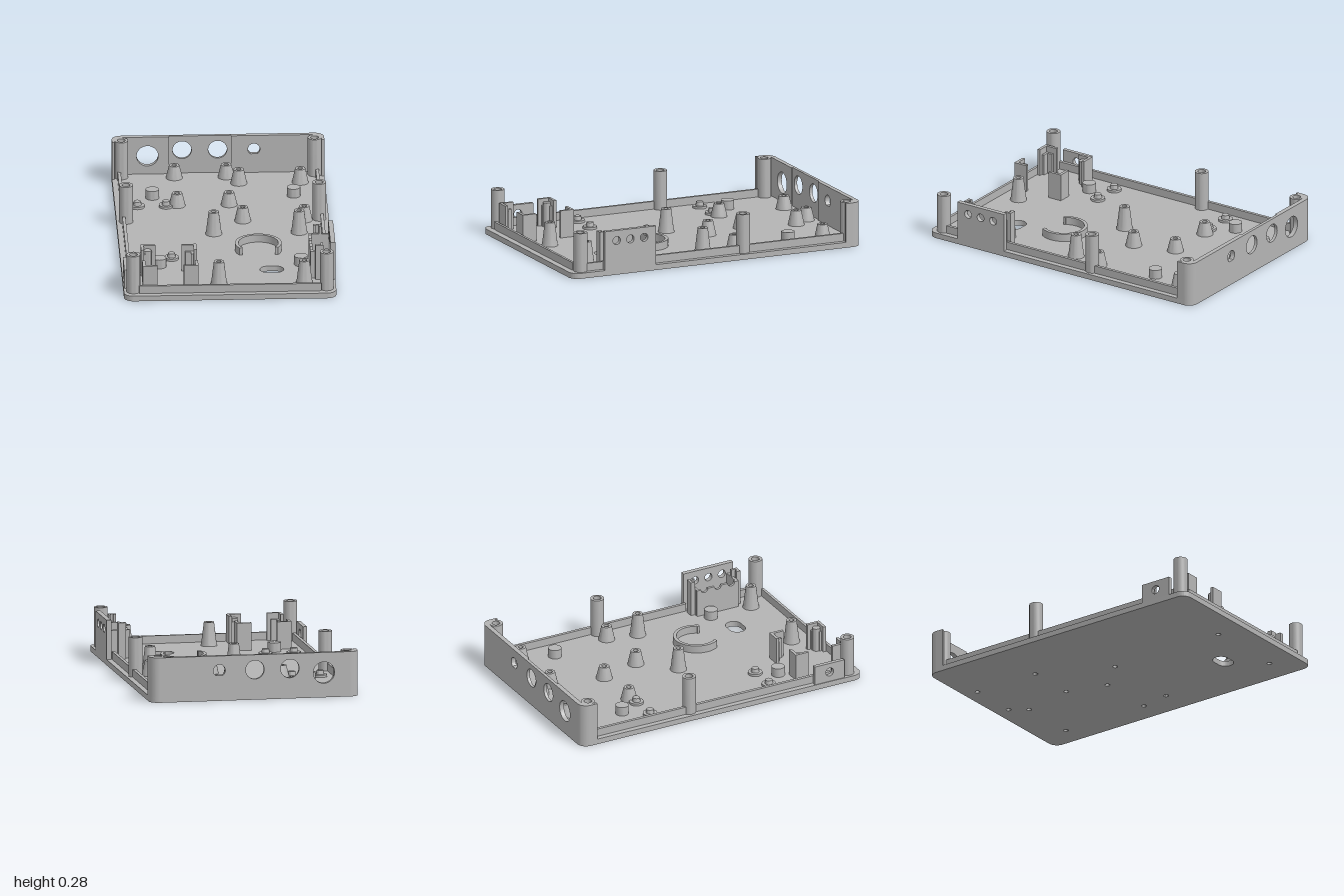
import * as THREE from 'three';
import { toCreasedNormals } from 'three/addons/utils/BufferGeometryUtils.js';

const FLOOR = 0.035, LIP = 0.085, TOP = 0.285;
const W = 0.665, L = 1;

export function createModel() {
  const model = new THREE.Group();
  model.name = 'enclosureBase';
  const grey = new THREE.MeshStandardMaterial({ color: 0xb4b4b4 });
  grey.name = 'grey plastic';

  const add = (name, geometry, x = 0, y = 0, z = 0) => {
    const mesh = new THREE.Mesh(toCreasedNormals(geometry, 0.6), grey);
    mesh.name = name;
    mesh.position.set(x, y, z);
    model.add(mesh);
    return mesh;
  };
  // box given by its limits
  const box = (name, x0, x1, y0, y1, z0, z1) =>
    add(name, new THREE.BoxGeometry(x1 - x0, y1 - y0, z1 - z0), (x0 + x1) / 2, (y0 + y1) / 2, (z0 + z1) / 2);
  const polygon = (pts) => new THREE.Shape(pts.map(([x, y]) => new THREE.Vector2(x, y)));
  const circle = (x, y, r) => new THREE.Path().absarc(x, y, r, 0, Math.PI * 2, true);
  const extrude = (shape, depth) =>
    new THREE.ExtrudeGeometry(shape, { depth, bevelEnabled: false, curveSegments: 20 });
  // plan shapes are drawn with their y pointing to the back
  const upward = (name, shape, y0, y1) =>
    add(name, extrude(shape, y1 - y0).rotateX(-Math.PI / 2), 0, y0, 0);
  // side plates are drawn with their x pointing to the back
  const sideways = (name, shape, x0, x1) =>
    add(name, extrude(shape, x1 - x0).rotateY(Math.PI / 2), x0, 0, 0);
  const lathe = (name, pts, x, z) =>
    add(name, new THREE.LatheGeometry(pts.map(([r, y]) => new THREE.Vector2(r, y)), 32), x, 0, z);

  // standoff groups: x positions, z positions, height
  const standoffs = [
    [[-0.275, 0.05], [-0.905, -0.455], 0.12],
    [[0.125, 0.51], [-0.8, -0.19], 0.13],
    [[-0.065, 0.47], [0.01, 0.815], 0.185],
  ];
  const eachStandoff = (fn) =>
    standoffs.forEach(([xs, zs, h]) => xs.forEach((x) => zs.forEach((z) => fn(x, z, h))));

  // floor with rounded corners, screw holes and a slot
  const R = 0.06;
  const floor = new THREE.Shape();
  floor.absarc(W - R, L - R, R, 0, Math.PI / 2);
  floor.absarc(-W + R, L - R, R, Math.PI / 2, Math.PI);
  floor.absarc(-W + R, -L + R, R, Math.PI, Math.PI * 1.5);
  floor.absarc(W - R, -L + R, R, Math.PI * 1.5, Math.PI * 2);
  eachStandoff((x, z) => floor.holes.push(circle(x, -z, 0.016)));
  const slot = new THREE.Path();
  slot.absarc(0.298, -0.6, 0.052, Math.PI / 2, -Math.PI / 2, true);
  slot.absarc(0.252, -0.6, 0.052, -Math.PI / 2, -Math.PI * 1.5, true);
  floor.holes.push(slot);
  upward('floor', floor, 0, FLOOR);

  // flared screw standoffs
  eachStandoff((x, z, h) => lathe('standoff',
    [[0.052, FLOOR], [0.047, 0.06], [0.032, h], [0.016, h], [0.016, FLOOR]], x, z));

  // locating pegs and round pads
  for (const x of [-0.525, -0.345]) for (const z of [-0.44, 0.405])
    lathe('locatingPeg', [[0.045, FLOOR], [0.045, 0.05], [0.026, 0.05], [0.022, 0.075], [0, 0.075]], x, z);
  for (const x of [-0.425, 0.46]) for (const z of [-0.585, 0.525])
    lathe('roundPad', [[0.042, FLOOR], [0.042, 0.094], [0, 0.094]], x, z);

  // lid columns with blind screw holes
  for (const x of [-0.605, 0.605]) for (const z of [-0.925, -0.205, 0.92])
    lathe('lidColumn', [[0.043, FLOOR], [0.043, TOP], [0.025, TOP], [0.025, 0.12], [0, 0.12]], x, z);

  // low lip around the edge
  box('frontLip', -0.57, 0.57, FLOOR, LIP, 0.943, 0.96);
  for (const s of [-1, 1]) {
    const a = s * 0.61, b = s * 0.63;
    const x0 = Math.min(a, b), x1 = Math.max(a, b);
    box('sideLip', x0, x1, FLOOR, LIP, -0.89, -0.24);
    box('sideLip', x0, x1, FLOOR, LIP, -0.17, s > 0 ? 0.43 : 0.66);
    box('sideLip', x0, x1, FLOOR, LIP, s > 0 ? 0.77 : 0.66, 0.885);
  }

  // back wall, thinner in its middle section
  const wallSection = (x0, x1, thickness, holes) => {
    const s = polygon([[x0, FLOOR], [x1, FLOOR], [x1, TOP], [x0, TOP]]);
    s.holes.push(...holes);
    add('backWall', extrude(s, thickness), 0, 0, -L);
  };
  const flatHole = new THREE.Path();
  flatHole.absarc(0.227, 0.192, 0.038, Math.PI * 1.3, -Math.PI * 0.3, true);
  wallSection(-0.605, -0.305, 0.03, [circle(-0.44, 0.157, 0.068)]);
  wallSection(-0.305, 0.085, 0.02, [circle(-0.223, 0.19, 0.059), circle(0, 0.19, 0.059)]);
  wallSection(0.085, 0.605, 0.03, [flatHole]);
  for (const s of [-1, 1]) {
    // rounded wall end wrapping the rear column
    const c = s * (W - R), z = L - R, end = s > 0 ? 0 : Math.PI;
    const corner = new THREE.Shape();
    corner.absarc(c, z, R, Math.PI / 2, end, s > 0);
    corner.lineTo(s * W, 0.89);
    corner.lineTo(s * 0.648, 0.89);
    corner.absarc(c, 0.925, 0.041, end, Math.PI / 2, s < 0);
    upward('backCorner', corner, FLOOR, TOP);
  }

  // right-hand panel with three holes
  const panel = polygon([[-0.778, FLOOR], [-0.425, FLOOR], [-0.425, TOP], [-0.778, TOP]]);
  for (const z of [0.507, 0.602, 0.697]) panel.holes.push(circle(-z, 0.22, 0.026));
  sideways('switchPanel', panel, 0.635, W);

  // notched holder behind the panel
  const holder = new THREE.Shape();
  holder.moveTo(-0.75, FLOOR);
  holder.lineTo(-0.455, FLOOR);
  holder.lineTo(-0.455, 0.215);
  for (const z of [0.507, 0.602, 0.697]) holder.absarc(-z, 0.215, 0.024, 0, Math.PI, true);
  holder.lineTo(-0.75, 0.215);
  sideways('switchHolder', holder, 0.51, 0.528);
  for (const s of [-1, 1]) {
    const at = (name, x0, x1, h, d0, d1) => {
      const a = 0.602 + s * d0, b = 0.602 + s * d1;
      box(name, x0, x1, FLOOR, h, Math.min(a, b), Math.max(a, b));
    };
    at('holderArm', 0.528, 0.635, 0.215, 0.13, 0.148);
    at('holderClip', 0.54, 0.558, 0.265, 0.148, 0.176);
    at('holderClip', 0.558, 0.59, 0.265, 0.16, 0.176);
    at('holderClip', 0.575, 0.59, 0.265, 0.13, 0.176);
  }

  // small left-hand panel with one hole
  const port = polygon([[-0.87, FLOOR], [-0.66, FLOOR], [-0.66, 0.16], [-0.87, 0.16]]);
  port.holes.push(circle(-0.765, 0.1, 0.028));
  sideways('portPanel', port, -0.66, -0.635);

  // four corner brackets for a small board, two with pegs
  const bracket = (x, z, sx, sz) => {
    const ell = (o, len, t) => polygon([[o, o], [len, o], [len, o + t], [o + t, o + t], [o + t, len], [o, len]]
      .map(([u, v]) => [x + sx * u, -(z + sz * v)]));
    upward('cornerBracket', ell(0, 0.092, 0.019), FLOOR, 0.21);
    upward('cornerLedge', ell(0.019, 0.07, 0.016), FLOOR, 0.17);
  };
  bracket(-0.547, 0.585, 1, 1);
  bracket(-0.198, 0.585, -1, 1);
  bracket(-0.547, 0.938, 1, -1);
  bracket(-0.198, 0.938, -1, -1);
  for (const [x, z] of [[-0.505, 0.628], [-0.24, 0.896]])
    lathe('bracketPeg', [[0.024, FLOOR], [0.024, 0.19], [0, 0.19]], x, z);

  // open ring holding a round part, with small hooks at its ends
  const ring = new THREE.Shape();
  const from = -0.19 * Math.PI, to = 1.19 * Math.PI;
  ring.absarc(0.203, -0.283, 0.146, from, to);
  ring.absarc(0.203, -0.283, 0.125, to, from, true);
  upward('openRing', ring, FLOOR, 0.084);
  for (const s of [-1, 1])
    box('ringHook', 0.203 + s * 0.112 - 0.009, 0.203 + s * 0.112 + 0.009, FLOOR, 0.084, 0.345, 0.362);

  return model;
}
